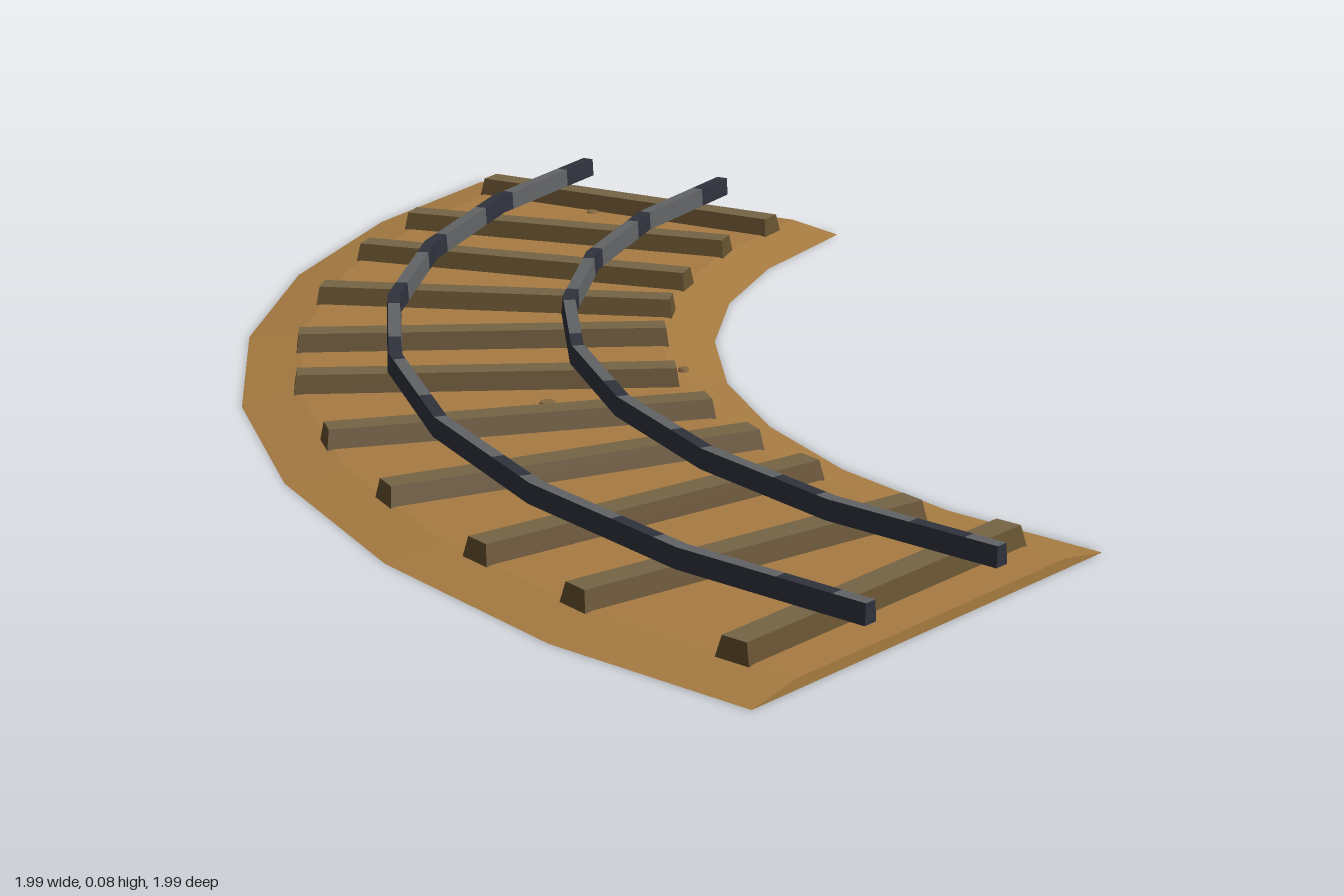
import * as THREE from 'three';

const C = 0.954;                 // centre of the curve on x and z
const R = 1.565;                 // radius of the track's middle line
const SEGMENTS = 8;
const STEP = Math.PI / 2 / SEGMENTS;
const CHORD = 2 * R * Math.sin(STEP / 2);
const TOTAL = CHORD * SEGMENTS;

// Point at a distance along the faceted middle line, moved outward by off
function at(s, off, y) {
  const k = Math.min(SEGMENTS - 1, Math.floor(s / CHORD + 1e-6));
  const f = s / CHORD - k;
  const joint = Math.abs(f) < 1e-5 && k > 0;
  const a0 = k * STEP, a1 = a0 + STEP;
  const phi = joint ? a0 : a0 + STEP / 2;
  const o = joint ? off : off * Math.cos(STEP / 2);
  const mx = THREE.MathUtils.lerp(Math.cos(a0), Math.cos(a1), f) * R;
  const mz = THREE.MathUtils.lerp(Math.sin(a0), Math.sin(a1), f) * R;
  return [C - mx - o * Math.cos(phi), y, C - mz - o * Math.sin(phi)];
}

// Sweep a convex profile [off, y]; pick(edge, s) chooses a material per face
function sweep(name, profile, stations, pick) {
  const buckets = new Map();
  const tri = (mat, ...pts) => {
    if (!buckets.has(mat)) buckets.set(mat, []);
    for (const p of pts) buckets.get(mat).push(...p);
  };
  const n = profile.length;
  const ring = s => profile.map(([o, y]) => at(s, o, y));
  const rings = stations.map(ring);
  for (let j = 0; j < rings.length - 1; j++) {
    const A = rings[j], B = rings[j + 1];
    const mid = (stations[j] + stations[j + 1]) / 2;
    for (let i = 0; i < n; i++) {
      const m = (i + 1) % n, mat = pick(i, mid);
      tri(mat, A[i], A[m], B[m]);
      tri(mat, A[i], B[m], B[i]);
    }
  }
  // End caps
  const first = rings[0], last = rings[rings.length - 1];
  for (let i = 1; i < n - 1; i++) {
    tri(pick(0, stations[0]), first[0], first[i + 1], first[i]);
    tri(pick(0, TOTAL), last[0], last[i], last[i + 1]);
  }
  const group = new THREE.Group();
  group.name = name;
  for (const [mat, pos] of buckets) {
    const g = new THREE.BufferGeometry();
    g.setAttribute('position', new THREE.Float32BufferAttribute(pos, 3));
    g.computeVertexNormals();
    const mesh = new THREE.Mesh(g, mat);
    mesh.name = name + 'Faces';
    group.add(mesh);
  }
  return group;
}

export function createModel() {
  const material = (name, color) => {
    const m = new THREE.MeshStandardMaterial({ color });
    m.name = name;
    return m;
  };
  const earth = material('earth', 0xa87c42);
  const pebbleBrown = material('pebbleBrown', 0x85683f);
  const woodTop = material('woodTop', 0x756445);
  const woodSide = material('woodSide', 0x65502f);
  const steel = material('steel', 0x626365);
  const darkSteel = material('darkSteel', 0x30323d);

  const model = new THREE.Group();
  model.name = 'curvedTrack';
  const joints = Array.from({ length: SEGMENTS + 1 }, (_, k) => k * CHORD);

  // Ground bed with sloping shoulders
  model.add(sweep('bed',
    [[-0.387, 0], [0.387, 0], [0.295, 0.016], [-0.295, 0.016]],
    joints, () => earth));

  // Rails, with worn lighter stretches on the top and inner side
  const PERIOD = 0.288, DARK = 0.095;
  const stations = [...joints];
  for (let d = 0; d < TOTAL; d += PERIOD) {
    for (const e of [d, d + DARK]) {
      const s = TOTAL - e;
      if (s > 0 && joints.every(j => Math.abs(j - s) > 0.002)) stations.push(s);
    }
  }
  stations.sort((a, b) => a - b);
  const railFace = (edge, s) =>
    edge < 2 || (TOTAL - s) % PERIOD < DARK ? darkSteel : steel;
  for (const [name, off] of [['outerRail', 0.145], ['innerRail', -0.145]]) {
    const profile = [[-0.012, 0.046], [0.012, 0.046], [0.01, 0.077], [-0.01, 0.077]]
      .map(([o, y]) => [o + off, y]);
    model.add(sweep(name, profile, stations, railFace));
  }

  // Sleepers: bevelled planks square to the segment they lie on
  const plank = new THREE.BoxGeometry(0.608, 0.032, 0.058);
  const p = plank.attributes.position;
  for (let i = 0; i < p.count; i++) {
    if (p.getY(i) > 0) p.setXYZ(i, p.getX(i) * 0.985, p.getY(i), p.getZ(i) * 0.72);
  }
  plank.computeVertexNormals();
  const plankMaterials = [woodSide, woodSide, woodTop, woodSide, woodSide, woodSide];
  const COUNT = 11, MARGIN = 0.1;
  for (let i = 0; i < COUNT; i++) {
    const s = MARGIN + i * (TOTAL - 2 * MARGIN) / (COUNT - 1);
    const sleeper = new THREE.Mesh(plank, plankMaterials);
    sleeper.name = 'sleeper';
    sleeper.position.set(...at(s, 0, 0.029));
    sleeper.rotation.y = -(Math.floor(s / CHORD) + 0.5) * STEP;
    model.add(sleeper);
  }

  // Small pebbles lying flat on the bed
  const stones = [[-0.17, -0.02, 0.016], [0.1, 0.05, 0.01], [-0.36, 0.65, 0.01],
    [0.81, -0.65, 0.013], [-0.36, 0.9, 0.012]];
  for (const [x, z, r] of stones) {
    const pebble = new THREE.Mesh(new THREE.CylinderGeometry(r * 0.8, r, 0.006, 6), pebbleBrown);
    pebble.name = 'pebble';
    pebble.position.set(x, 0.016, z);
    model.add(pebble);
  }
  return model;
}
